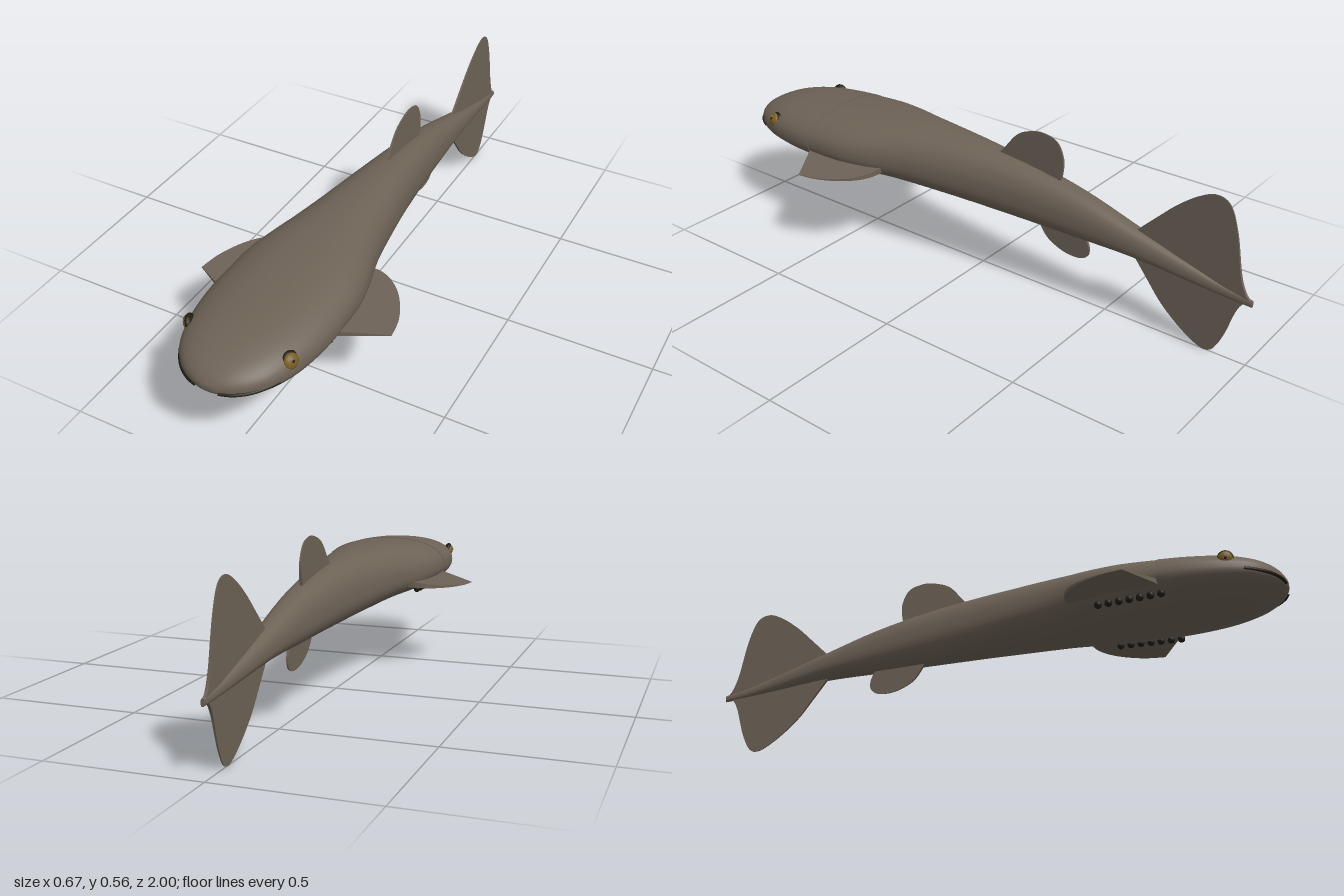
import * as THREE from 'three';

const mat = (name, color) => Object.assign(new THREE.MeshStandardMaterial({ color }), { name });

// Body stations: z, half width, top y, bottom y
const STATIONS = [
  [-1, 0.006, 0.228, 0.205], [-0.9, 0.012, 0.246, 0.211], [-0.8, 0.021, 0.274, 0.22],
  [-0.6, 0.041, 0.334, 0.238], [-0.4, 0.06, 0.392, 0.24], [-0.2, 0.08, 0.429, 0.243],
  [0, 0.105, 0.45, 0.247], [0.2, 0.138, 0.459, 0.253], [0.3, 0.16, 0.459, 0.257],
  [0.4, 0.189, 0.455, 0.26], [0.5, 0.208, 0.449, 0.264], [0.62, 0.21, 0.44, 0.268],
  [0.72, 0.205, 0.432, 0.272], [0.82, 0.187, 0.421, 0.279], [0.9, 0.156, 0.404, 0.291],
  [0.95, 0.117, 0.386, 0.303], [0.98, 0.075, 0.368, 0.314], [0.995, 0.036, 0.352, 0.324], [1, 0.012, 0.342, 0.331],
];
const NECK = 11, STEPS = 4, SIDES = 40;
const widthCurve = new THREE.CatmullRomCurve3(STATIONS.map(s => new THREE.Vector3(s[0], s[1], 0)), false, 'catmullrom');
const heightCurve = new THREE.CatmullRomCurve3(STATIONS.map(s => new THREE.Vector3(s[0], s[2], s[3])), false, 'catmullrom');

// One rounded, slightly boxy cross-section; the widest line sits a little below the middle
function ring(step, scale, grow) {
  const t = Math.min(1, step / ((STATIONS.length - 1) * STEPS));
  const w = widthCurve.getPoint(t), h = heightCurve.getPoint(t);
  const mid = h.z + (h.y - h.z) * 0.42, out = [];
  for (let i = 0; i < SIDES; i++) {
    const a = (i / SIDES) * Math.PI * 2, c = Math.cos(a), s = Math.sin(a);
    const px = Math.sign(c) * Math.abs(c) ** 0.87, py = Math.sign(s) * Math.abs(s) ** 0.87;
    const half = s > 0 ? h.y - mid : mid - h.z;
    out.push(px * (w.y + grow) * scale, mid + py * (half + grow) * scale, w.x);
  }
  return out;
}

// Skin over the sections between two steps, closed at both ends with sharp rims
function loft(from, to, grow = 0) {
  const rings = [ring(from, 0, grow), ring(from, 1, grow)];
  for (let s = from; s <= to; s++) rings.push(ring(s, 1, grow));
  rings.push(ring(to, 0, grow));
  const index = [];
  for (let r = 0; r < rings.length - 1; r++) {
    for (let i = 0; i < SIDES; i++) {
      const j = (i + 1) % SIDES, a = r * SIDES + i, b = r * SIDES + j;
      index.push(a, b, b + SIDES, a, b + SIDES, a + SIDES);
    }
  }
  const g = new THREE.BufferGeometry();
  g.setAttribute('position', new THREE.Float32BufferAttribute(rings.flat(), 3));
  g.setIndex(index);
  g.computeVertexNormals();
  return g;
}

// Fin plate: straight points first, then a spline through the rest
function plate(straight, curved) {
  const shape = new THREE.Shape();
  straight.forEach(([x, y], i) => (i ? shape.lineTo(x, y) : shape.moveTo(x, y)));
  curved.forEach(part => shape.splineThru(part.map(([x, y]) => new THREE.Vector2(x, y))));
  const g = new THREE.ExtrudeGeometry(shape, { depth: 1, bevelEnabled: false, curveSegments: 24 });
  return g.translate(0, 0, -0.5);
}

// Thin the plate out from its root to its tip
function taper(g, thickness, lift = () => 0) {
  const p = g.attributes.position;
  for (let i = 0; i < p.count; i++) {
    const x = p.getX(i), y = p.getY(i);
    p.setZ(i, p.getZ(i) * thickness(x, y) + lift(x, y));
  }
  return g;
}

export function createModel() {
  const group = new THREE.Group();
  const skin = mat('skin', 0x6d6256);
  const finSkin = mat('finSkin', 0x6d6256);
  const dark = mat('darkBrown', 0x201c10);
  const gold = mat('eyeGold', 0x7a5f24);
  const glint = mat('eyeGlint', 0x8c8578);
  const add = (name, geometry, material) => {
    const m = new THREE.Mesh(geometry, material);
    m.name = name;
    group.add(m);
    return m;
  };

  // Trunk, and a head that overlaps it by a hair at the neck
  add('trunk', loft(0, NECK * STEPS + 1), skin);
  add('head', loft(NECK * STEPS, (STATIONS.length - 1) * STEPS, 0.002), skin);

  // Upright fins, drawn as (z, y) and turned to stand along the body
  const upright = (name, straight, curved, root, tip) => add(name, taper(plate(straight, curved),
    (x, y) => THREE.MathUtils.lerp(0.011, 0.003, THREE.MathUtils.clamp(Math.abs(y - root) / tip, 0, 1))
  ).rotateY(-Math.PI / 2), finSkin);
  upright('dorsalFin', [[-0.28, 0.37], [-0.06, 0.425]], [[
    [-0.095, 0.47], [-0.14, 0.523], [-0.19, 0.547], [-0.24, 0.555], [-0.295, 0.538],
    [-0.32, 0.485], [-0.318, 0.435], [-0.308, 0.39]]], 0.43, 0.125);
  upright('analFin', [[-0.39, 0.28], [-0.22, 0.26], [-0.235, 0.236]], [[
    [-0.27, 0.188], [-0.33, 0.158], [-0.39, 0.154], [-0.425, 0.172], [-0.43, 0.205], [-0.41, 0.25]]], 0.24, 0.085);
  upright('tailFin', [[-0.6, 0.25], [-0.6, 0.33]], [[
    [-0.66, 0.39], [-0.73, 0.458], [-0.8, 0.51], [-0.855, 0.531], [-0.9, 0.51], [-0.93, 0.43],
    [-0.955, 0.3], [-0.975, 0.245], [-0.995, 0.222]], [
    [-0.97, 0.205], [-0.948, 0.165], [-0.92, 0.075], [-0.89, 0.015], [-0.86, 0], [-0.82, 0.013],
    [-0.76, 0.053], [-0.7, 0.107], [-0.65, 0.17], [-0.6, 0.235]]], 0.265, 0.265);

  const mirrored = [['left', 1], ['right', -1]];
  for (const [side, s] of mirrored) {
    const flip = pts => pts.map(([x, z]) => [x * s, z]);

    // Paddle fin, thick at the shoulder and drooping slightly to its tip
    const out = x => THREE.MathUtils.clamp((Math.abs(x) - 0.18) / 0.155, 0, 1);
    add(side + 'PectoralFin', taper(
      plate(flip([[0.13, 0.34], [0.15, 0.64], [0.21, 0.615], [0.336, 0.54]]),
        [flip([[0.325, 0.475], [0.3, 0.415], [0.265, 0.365], [0.22, 0.33], [0.17, 0.318], [0.13, 0.33]])]),
      x => THREE.MathUtils.lerp(0.02, 0.002, out(x)),
      x => -THREE.MathUtils.lerp(0.317, 0.301, out(x))
    ).rotateX(Math.PI / 2), finSkin);

    // Eye: dark socket, golden ball, dark pupil and a tiny glint
    const eye = new THREE.Group();
    eye.name = side + 'Eye';
    const ball = (name, r, material, x, y, z, flat = 1) => {
      const m = new THREE.Mesh(new THREE.SphereGeometry(r, 20, 14), material);
      m.name = name;
      m.scale.x = flat;
      m.position.set(x, y, z);
      eye.add(m);
    };
    ball('socket', 0.027, dark, -0.004, 0.002, -0.002, 0.5);
    ball('iris', 0.0245, gold, 0.003, 0, 0, 0.6);
    ball('pupil', 0.008, dark, 0.014, 0.002, 0.001, 0.5);
    ball('glint', 0.003, glint, 0.016, 0.011, 0.004);
    eye.position.set(0.169 * s, 0.371, 0.828);
    eye.rotation.set(0, s > 0 ? -0.3 : Math.PI + 0.3, s * 0.35);
    group.add(eye);

    // Half of the mouth slit, wrapped round the snout
    const path = new THREE.CatmullRomCurve3([
      [0.036, 0.328, 0.994], [0.075, 0.329, 0.981], [0.117, 0.331, 0.951], [0.15, 0.333, 0.908], [0.165, 0.334, 0.88],
    ].map(([x, y, z]) => new THREE.Vector3(x * s, y, z)));
    add(side + 'MouthSlit', new THREE.TubeGeometry(path, 24, 0.0055, 8), dark);

    // Row of gill openings below the paddle fin
    for (let i = 0; i < 7; i++) {
      const gill = add(side + 'GillOpening', new THREE.SphereGeometry(0.0125, 12, 8), dark);
      gill.position.set(s * (0.174 - 0.0022 * i), 0.285, 0.625 - 0.034 * i);
    }
  }
  return group;
}
